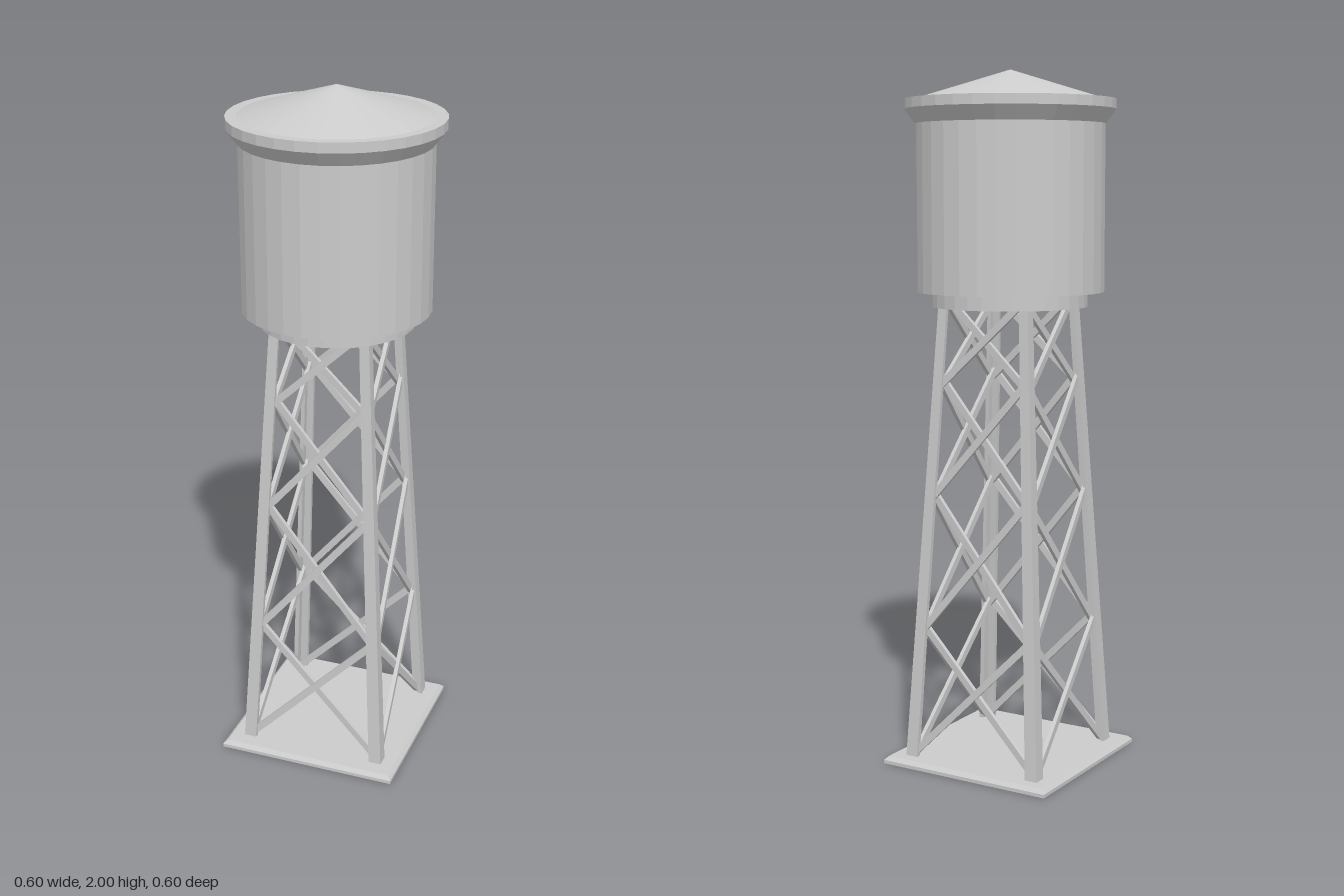
import * as THREE from 'three';

const material = new THREE.MeshStandardMaterial({ color: 0xcccccc, flatShading: true });
const TOP = 1.36;

// Distance of the legs' outer faces from the centre axis at height y
const legOuter = (y) => THREE.MathUtils.lerp(0.222, 0.146, y / TOP);

function add(parent, name, geometry) {
  const mesh = new THREE.Mesh(geometry, material);
  mesh.name = name;
  parent.add(mesh);
  return mesh;
}

// Tapered angle-iron leg leaning toward the axis
function legGeometry() {
  const w = 0.038, t = 0.014;
  const shape = new THREE.Shape([
    [0, 0], [-w, 0], [-w, -t], [-t, -t], [-t, -w], [0, -w],
  ].map(([x, y]) => new THREE.Vector2(x, y)));
  const geo = new THREE.ExtrudeGeometry(shape, { depth: 1, bevelEnabled: false });
  const p = geo.attributes.position;
  for (let i = 0; i < p.count; i++) {
    const y = p.getZ(i) * TOP;
    const s = 1 - 0.25 * p.getZ(i);
    // swapping the section axes keeps the faces pointing outward
    p.setXYZ(i, legOuter(y) + p.getY(i) * s, y, legOuter(y) + p.getX(i) * s);
  }
  geo.computeVertexNormals();
  return geo;
}

// Flat bar between two points, aimed in the local frame of its parent
function addBrace(parent, a, b) {
  const bar = new THREE.Mesh(new THREE.BoxGeometry(0.012, 0.02, a.distanceTo(b)), material);
  bar.name = 'brace';
  bar.position.copy(a).lerp(b, 0.5);
  bar.lookAt(b);
  parent.add(bar);
}

export function createModel() {
  const model = new THREE.Group();
  model.name = 'waterTower';

  // Base slab with a chamfered top edge
  const base = new THREE.Group();
  base.name = 'base';
  model.add(base);
  add(base, 'baseSlab', new THREE.BoxGeometry(0.54, 0.01, 0.54)).position.y = 0.005;
  const chamfer = new THREE.CylinderGeometry(0.259 * Math.SQRT2, 0.27 * Math.SQRT2, 0.011, 4);
  chamfer.rotateY(Math.PI / 4);
  add(base, 'baseChamfer', chamfer).position.y = 0.0155;

  // Support tower, set slightly toward the back
  const tower = new THREE.Group();
  tower.name = 'tower';
  tower.position.z = -0.005;
  model.add(tower);

  // Four sides, each with one leg and a stack of crossed braces
  const leg = legGeometry();
  const levels = [[0.025, 0.41], [0.395, 0.8], [0.785, 1.13], [1.11, 1.36]];
  for (let i = 0; i < 4; i++) {
    const side = new THREE.Group();
    side.name = 'towerSide';
    side.rotation.y = i * Math.PI / 2;
    tower.add(side);
    add(side, 'leg', leg);
    for (const [y0, y1] of levels) {
      for (const s of [-1, 1]) {
        const inset = s > 0 ? 0.012 : 0.022;
        const end = (y, dir) => new THREE.Vector3(
          dir * (legOuter(y) - 0.018), y, legOuter(y) - inset);
        addBrace(side, end(y0, -s), end(y1, s));
      }
    }
  }

  // Ring under the tank
  add(tower, 'tankRing', new THREE.CylinderGeometry(0.225, 0.225, 0.055, 32)).position.y = 1.3625;

  // Tank with flared rim and conical roof
  const profile = [
    [0, 1.377], [0.27, 1.377], [0.27, 1.85],
    [0.3, 1.89], [0.3, 1.918], [0.27, 1.918], [0, 2],
  ].map(([r, y]) => new THREE.Vector2(r, y));
  add(model, 'tank', new THREE.LatheGeometry(profile, 32));

  return model;
}
